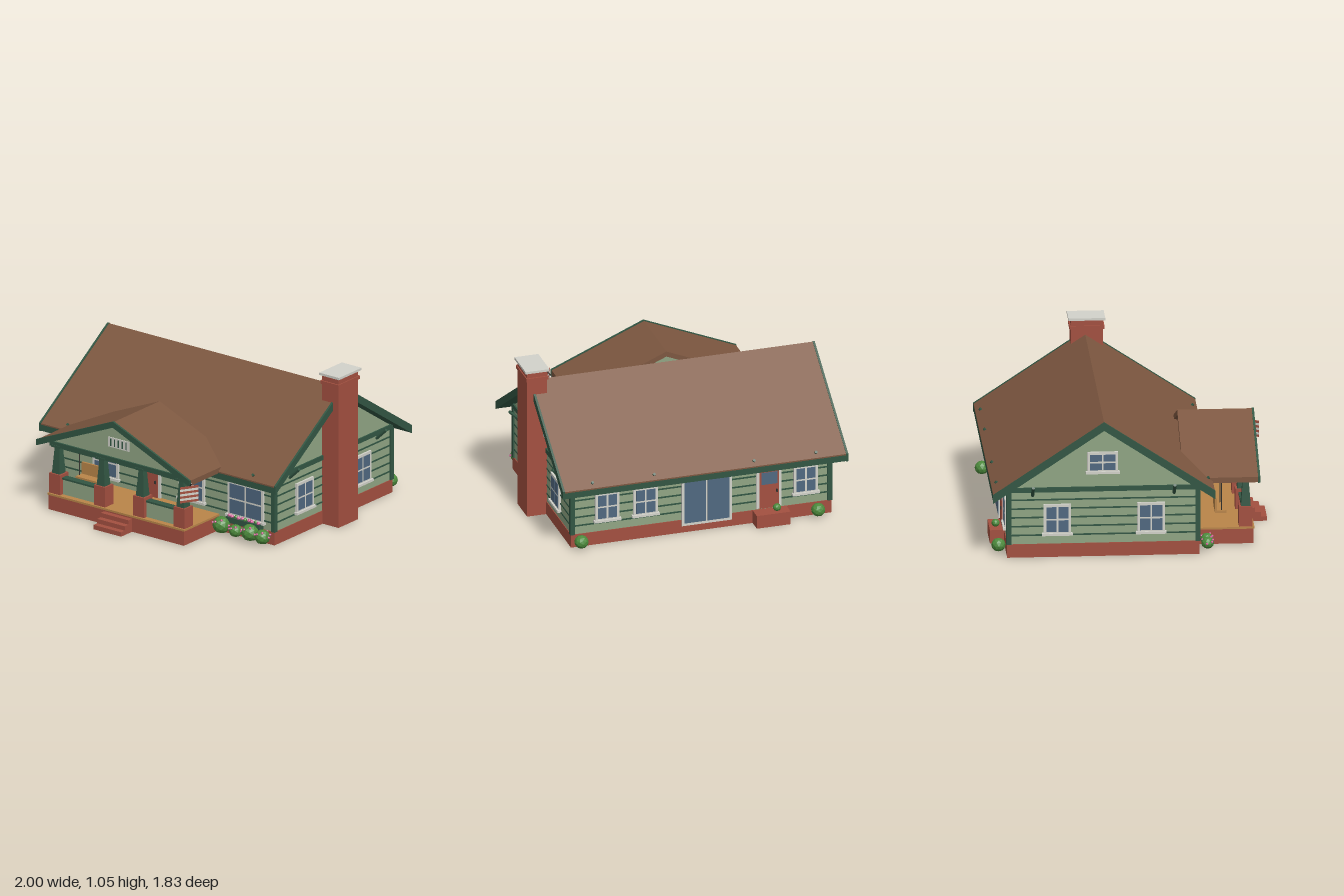
import * as THREE from 'three';

const mat = (name, color) => {
  const m = new THREE.MeshStandardMaterial({ color, flatShading: true });
  m.name = name;
  return m;
};

export function createModel() {
  const root = new THREE.Group();
  root.name = 'bungalow';
  const shingle = mat('brown shingle', 0x7d5740);
  const brick = mat('red brick', 0xa35040);
  const sage = mat('sage siding', 0x90a584);
  const trim = mat('dark green trim', 0x325643);
  const white = mat('off white', 0xd2d2ca);
  const glass = mat('blue glass', 0x506880);
  const wood = mat('tan wood', 0xb98549);
  const leaf = mat('leaf green', 0x4c8a3c);
  const pink = mat('pink flower', 0xcf5a94);
  const metal = mat('dark metal', 0x35332f);

  const add = (name, geo, m, parent = root) => {
    const mesh = new THREE.Mesh(geo, m);
    mesh.name = name;
    parent.add(mesh);
    return mesh;
  };
  // box from min/max on each axis
  const box = (name, m, x0, x1, y0, y1, z0, z1, parent = root) => {
    const g = new THREE.BoxGeometry(x1 - x0, y1 - y0, z1 - z0);
    g.translate((x0 + x1) / 2, (y0 + y1) / 2, (z0 + z1) / 2);
    return add(name, g, m, parent);
  };
  const prism = (pts, depth) => new THREE.ExtrudeGeometry(
    new THREE.Shape(pts.map(p => new THREE.Vector2(p[0], p[1]))), { depth, bevelEnabled: false });
  // profile given in (z, y), swept from x0 to x1
  const prismX = (name, m, pts, x0, x1) =>
    add(name, prism(pts, x1 - x0).rotateY(-Math.PI / 2).translate(x1, 0, 0), m);
  const prismZ = (name, m, pts, z0, z1) => add(name, prism(pts, z1 - z0).translate(0, 0, z0), m);
  const chevron = (c, half, peak, eave, t) => [
    [c - half, eave], [c - half, eave - t], [c, peak - t], [c + half, eave - t], [c + half, eave], [c, peak]];
  const rod = (name, m, a, b, r, parent = root) => {
    const p = new THREE.Vector3(...a), q = new THREE.Vector3(...b);
    const d = q.clone().sub(p);
    const mesh = add(name, new THREE.CylinderGeometry(r, r, d.length(), 6), m, parent);
    mesh.position.copy(p).addScaledVector(d, 0.5);
    mesh.quaternion.setFromUnitVectors(new THREE.Vector3(0, 1, 0), d.normalize());
    return mesh;
  };

  // main house: foundation, walls, siding lines, corner posts
  box('foundation', brick, -0.915, 0.855, 0, 0.09, -0.815, 0.435);
  prismX('walls', sage, [[-0.81, 0.09], [0.43, 0.09], [0.43, 0.46], [-0.19, 0.873], [-0.81, 0.46]], -0.91, 0.85);
  for (let i = 0; i < 5; i++) {
    const y = 0.145 + i * 0.06;
    box('sidingLine', trim, -0.914, 0.854, y, y + 0.01, -0.814, 0.434);
  }
  box('beltBoard', trim, -0.92, 0.86, 0.442, 0.474, -0.815, 0.435);
  for (const x of [-0.905, 0.845]) for (const z of [-0.805, 0.425])
    box('cornerPost', trim, x - 0.016, x + 0.016, 0.09, 0.45, z - 0.016, z + 0.016);

  // main roof: green deck, shingles on top, barge boards at the gable ends
  prismX('roofDeck', trim, chevron(-0.19, 0.72, 0.922, 0.442, 0.042), -0.99, 0.93);
  prismX('roofShingles', shingle, chevron(-0.19, 0.72, 0.931, 0.451, 0.01), -0.99, 0.93);
  for (const x of [-1, 0.926]) prismX('bargeBoard', trim, chevron(-0.19, 0.722, 0.935, 0.454, 0.056), x, x + 0.014);

  // eave brackets that poke through the roof, and gable brackets
  for (const s of [-1, 1]) for (const x of [-0.79, -0.37, 0.31, 0.73]) {
    const z = d => -0.19 + s * d;
    rod('eaveBracket', trim, [x, 0.4, z(0.61)], [x, 0.482, z(0.695)], 0.01);
  }
  for (const z of [0.27, -0.65]) for (const [x, s] of [[-0.91, -1], [0.85, 1]]) {
    rod('gableBracket', trim, [x, 0.42, z], [x + s * 0.08, 0.495, z], 0.011);
  }

  // chimney
  box('chimney', brick, 0.85, 0.985, 0, 1.03, -0.283, -0.075);
  box('chimneyBand', brick, 0.843, 0.992, 0.97, 0.992, -0.293, -0.065);
  box('chimneyCap', white, 0.838, 1, 1.03, 1.046, -0.3, -0.06);

  // windows: white frame, sill and a grid of panes, facing local +z
  const windowUnit = (name, w, h, x, y, z, turn, cols = 2, rows = 2) => {
    const g = new THREE.Group();
    g.name = name;
    g.position.set(x, y, z);
    g.rotation.y = turn;
    root.add(g);
    box('frame', white, -w / 2, w / 2, -h / 2, h / 2, -0.01, 0.014, g);
    if (h < 0.26) box('sill', white, -w / 2 - 0.01, w / 2 + 0.01, -h / 2 - 0.006, -h / 2 + 0.01, 0, 0.026, g);
    const e = 0.018, bar = 0.012;
    const pw = (w - 2 * e - (cols - 1) * bar) / cols, ph = (h - 2 * e - (rows - 1) * bar) / rows;
    for (let i = 0; i < cols; i++) for (let j = 0; j < rows; j++) {
      const px = -w / 2 + e + i * (pw + bar), py = -h / 2 + e + j * (ph + bar);
      box('pane', glass, px, px + pw, py, py + ph, 0.013, 0.016, g);
    }
    return g;
  };
  windowUnit('porchWindow', 0.21, 0.215, -0.525, 0.265, 0.43, 0);
  windowUnit('porchWindow', 0.21, 0.215, 0.18, 0.265, 0.43, 0);
  windowUnit('pictureWindow', 0.295, 0.24, 0.622, 0.25, 0.43, 0);
  for (const [x, turn] of [[-0.91, -Math.PI / 2], [0.85, Math.PI / 2]]) {
    for (const z of [0.12, -0.49]) windowUnit('sideWindow', 0.18, 0.205, x, 0.257, z, turn);
    windowUnit('gableWindow', 0.2, 0.14, x, 0.64, -0.195, turn);
  }
  for (const x of [0.61, 0.35, -0.74]) windowUnit('backWindow', 0.165, 0.2, x, 0.265, -0.81, Math.PI);
  windowUnit('slidingDoor', 0.34, 0.33, -0.065, 0.215, -0.812, Math.PI, 2, 1);

  // doors
  const door = (name, x, z, turn, h) => {
    const g = new THREE.Group();
    g.name = name;
    g.position.set(x, 0.1, z);
    g.rotation.y = turn;
    root.add(g);
    box('doorFrame', white, -0.085, 0.085, 0, h, -0.01, 0.012, g);
    box('doorLeaf', brick, -0.067, 0.067, 0, h - 0.012, 0, 0.018, g);
    box('doorGlass', glass, -0.053, 0.053, h - 0.11, h - 0.025, 0.017, 0.021, g);
    box('doorHandle', metal, 0.045, 0.055, 0.11, 0.13, 0.017, 0.028, g);
  };
  door('frontDoor', -0.16, 0.43, 0, 0.3);
  door('backDoor', -0.49, -0.81, Math.PI, 0.28);
  box('backStoop', brick, -0.61, -0.38, 0, 0.09, -0.907, -0.81);
  box('porchLamp', wood, -0.045, -0.015, 0.35, 0.39, 0.43, 0.46);

  // porch base, floor and steps
  box('porchBase', brick, -0.715, 0.395, 0, 0.1, 0.43, 0.8);
  box('porchFloor', wood, -0.72, 0.4, 0.1, 0.113, 0.43, 0.805);
  for (let i = 0; i < 3; i++)
    box('step', brick, -0.257, -0.03, 0, 0.03 * (3 - i), 0.79, 0.838 + i * 0.039);

  // porch piers with tapered columns
  for (const x of [-0.67, -0.303, 0.018, 0.35]) {
    box('pier', brick, x - 0.045, x + 0.045, 0.1, 0.25, 0.705, 0.793);
    const col = add('column', new THREE.CylinderGeometry(0.026, 0.045, 0.185, 4).rotateY(Math.PI / 4), trim);
    col.position.set(x, 0.342, 0.75);
    box('columnCap', trim, x - 0.036, x + 0.036, 0.43, 0.445, 0.714, 0.786);
  }
  for (const [a, b] of [[-0.63, -0.34], [0.06, 0.31]]) {
    box('kneeWall', sage, a, b, 0.11, 0.22, 0.735, 0.765);
    box('kneeWallRail', trim, a, b, 0.218, 0.23, 0.725, 0.775);
  }

  // porch gable, beam, roof and vent
  prismZ('porchGable', sage, [[-0.74, 0.45], [0.42, 0.45], [-0.16, 0.7]], 0.4, 0.77);
  box('porchBeam', trim, -0.72, 0.4, 0.434, 0.467, 0.72, 0.782);
  prismZ('porchRoof', shingle, chevron(-0.16, 0.627, 0.738, 0.474, 0.036), 0.34, 0.825);
  prismZ('porchBarge', trim, chevron(-0.16, 0.63, 0.743, 0.477, 0.042), 0.824, 0.838);
  box('gableVent', white, -0.247, -0.073, 0.535, 0.602, 0.765, 0.776);
  for (let i = 0; i < 5; i++) {
    const x = -0.222 + i * 0.031;
    box('ventSlot', trim, x - 0.004, x + 0.004, 0.543, 0.594, 0.775, 0.779);
  }

  // porch swing
  box('swingSeat', wood, -0.625, -0.45, 0.18, 0.198, 0.555, 0.63);
  box('swingBack', wood, -0.625, -0.45, 0.198, 0.278, 0.553, 0.567);
  for (const x of [-0.62, -0.455]) rod('swingRope', metal, [x, 0.19, 0.597], [x, 0.45, 0.597], 0.003);

  // striped banner on a slanted pole
  rod('bannerPole', metal, [0.375, 0.34, 0.76], [0.52, 0.485, 0.88], 0.004);
  const banner = new THREE.Group();
  banner.name = 'banner';
  banner.position.set(0.483, 0.34, 0.858);
  banner.rotation.y = Math.atan2(0.11, 0.065);
  root.add(banner);
  for (let i = 0; i < 7; i++)
    box('bannerStripe', i % 2 ? white : brick, -0.064, 0.064, i * 0.0157, (i + 1) * 0.0157, -0.002, 0.002, banner);

  // bushes with blossoms
  const bush = (x, y, z, r, blooms = 0) => {
    const b = add('bush', new THREE.IcosahedronGeometry(r, 1), leaf);
    b.scale.y = 0.95;
    b.position.set(x, y, z);
    for (let i = 0; i < blooms; i++) {
      const a = i * 2.4, up = 0.1 + 0.22 * (i % 4);
      const c = Math.sqrt(1 - up * up) * r;
      add('blossom', new THREE.IcosahedronGeometry(0.009, 0), pink)
        .position.set(x + Math.cos(a) * c, y + up * r * 0.95, z + Math.sin(a) * c);
    }
  };
  for (const [x, r] of [[0.465, 0.06], [0.58, 0.045], [0.7, 0.06], [0.8, 0.052], [-0.85, 0.042], [-0.77, 0.042]])
    bush(x, r + 0.012, 0.492, r, 7);
  for (const x of [0.8, -0.81]) bush(x, 0.057, -0.865, 0.047);
  bush(-0.53, 0.115, -0.865, 0.027);

  // flower box under the picture window
  box('flowerBox', trim, 0.485, 0.76, 0.09, 0.128, 0.43, 0.475);
  for (let i = 0; i < 10; i++)
    add('boxFlower', new THREE.IcosahedronGeometry(0.014, 0), i % 3 === 2 ? leaf : pink)
      .position.set(0.5 + i * 0.027, 0.133, 0.452 + 0.008 * (i % 2));

  return root;
}
